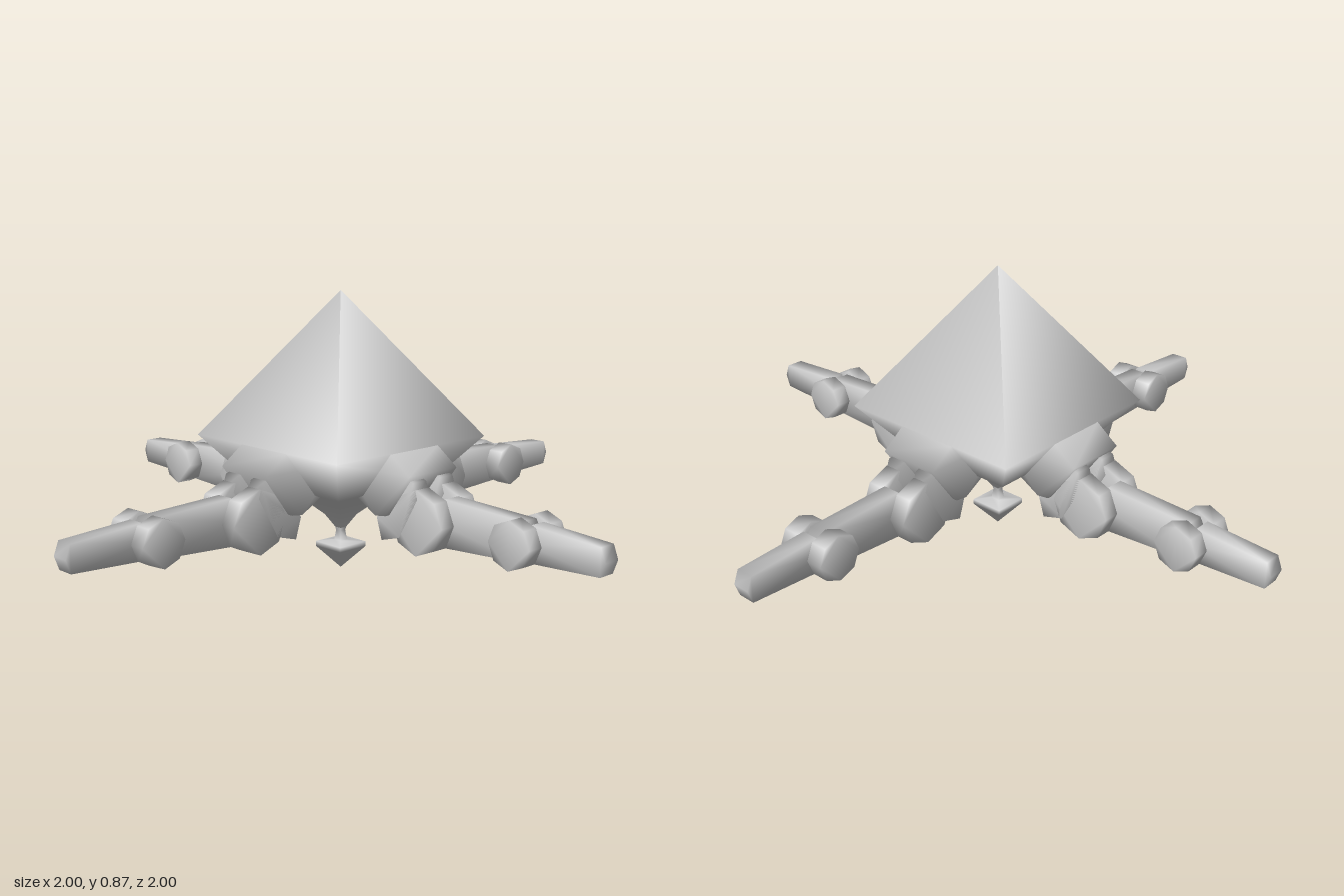
import * as THREE from 'three';
import { mergeVertices } from 'three/addons/utils/BufferGeometryUtils.js';

const material = new THREE.MeshStandardMaterial({ color: 0xcccccc });

// Side outline [x, y] extruded from z0 to z1, with soft shading across the edges
function slab(name, outline, z0, z1) {
  const shape = new THREE.Shape(outline.map(([x, y]) => new THREE.Vector2(x, y)));
  let geo = new THREE.ExtrudeGeometry(shape, { depth: z1 - z0, bevelEnabled: false });
  geo.translate(0, 0, z0);
  geo.deleteAttribute('uv');
  geo.deleteAttribute('normal');
  geo = mergeVertices(geo);
  geo.computeVertexNormals();
  const mesh = new THREE.Mesh(geo, material);
  mesh.name = name;
  return mesh;
}

// Square solid swept from a profile of [half width, y], bottom to top
function squareLoft(name, profile) {
  const points = profile.map(([h, y]) => new THREE.Vector2(h * Math.SQRT2, y));
  const mesh = new THREE.Mesh(new THREE.LatheGeometry(points, 4, Math.PI / 4), material);
  mesh.name = name;
  return mesh;
}

function octagon(cx, cy, r) {
  return Array.from({ length: 8 }, (_, i) => {
    const a = (i * Math.PI) / 4;
    return [cx + r * Math.cos(a), cy + r * Math.sin(a)];
  });
}

// One leg reaching out along +x
function createLeg() {
  const leg = new THREE.Group();
  leg.name = 'leg';

  // Sloping mount on the body
  leg.add(slab('hipMount', [[0.12, 0.36], [0.18, 0.27], [0.25, 0.23], [0.29, 0.235],
    [0.385, 0.365], [0.31, 0.42]], -0.1, 0.1));

  // Forked joints: a pair of brackets and discs at the hip, a pair of discs at the knee
  for (const s of [-1, 1]) {
    const z0 = s > 0 ? 0.03 : -0.083;
    const z1 = s > 0 ? 0.083 : -0.03;
    leg.add(slab('hipBracket', [[0.24, 0.22], [0.26, 0.155], [0.33, 0.175],
      [0.40, 0.30], [0.385, 0.345], [0.34, 0.36]], z0, z1));
    leg.add(slab('hipDisc', octagon(0.395, 0.23, 0.097), z0, z1));
    leg.add(slab('kneeDisc', octagon(0.73, 0.232, 0.07), z0, z1));
  }

  // Axle joining the hip discs
  const axle = new THREE.Mesh(new THREE.CylinderGeometry(0.022, 0.022, 0.1, 8), material);
  axle.name = 'hipAxle';
  axle.rotation.x = Math.PI / 2;
  axle.position.set(0.395, 0.23, 0);
  leg.add(axle);

  // Two tapering bars
  leg.add(slab('upperBar', [[0.435, 0.23], [0.455, 0.16], [0.735, 0.175], [0.765, 0.232],
    [0.735, 0.29], [0.455, 0.302]], -0.029, 0.029));
  leg.add(slab('lowerBar', [[0.74, 0.232], [0.76, 0.18], [0.985, 0.19], [1, 0.23],
    [0.985, 0.27], [0.76, 0.285]], -0.028, 0.028));
  return leg;
}

export function createModel() {
  const model = new THREE.Group();
  model.name = 'fourLeggedWalker';

  // Pyramid hull with a tapering underside
  model.add(squareLoft('body', [[0.012, 0.13], [0.035, 0.17], [0.1, 0.235], [0.2, 0.28],
    [0.311, 0.42], [0, 0.865]]));

  // Thin stem and pointed pendant below the hull
  model.add(squareLoft('pendant', [[0, 0], [0.055, 0.068], [0.055, 0.083],
    [0.014, 0.09], [0.01, 0.12], [0.018, 0.16]]));

  for (let i = 0; i < 4; i++) {
    const leg = createLeg();
    leg.rotation.y = (i * Math.PI) / 2;
    model.add(leg);
  }
  return model;
}
